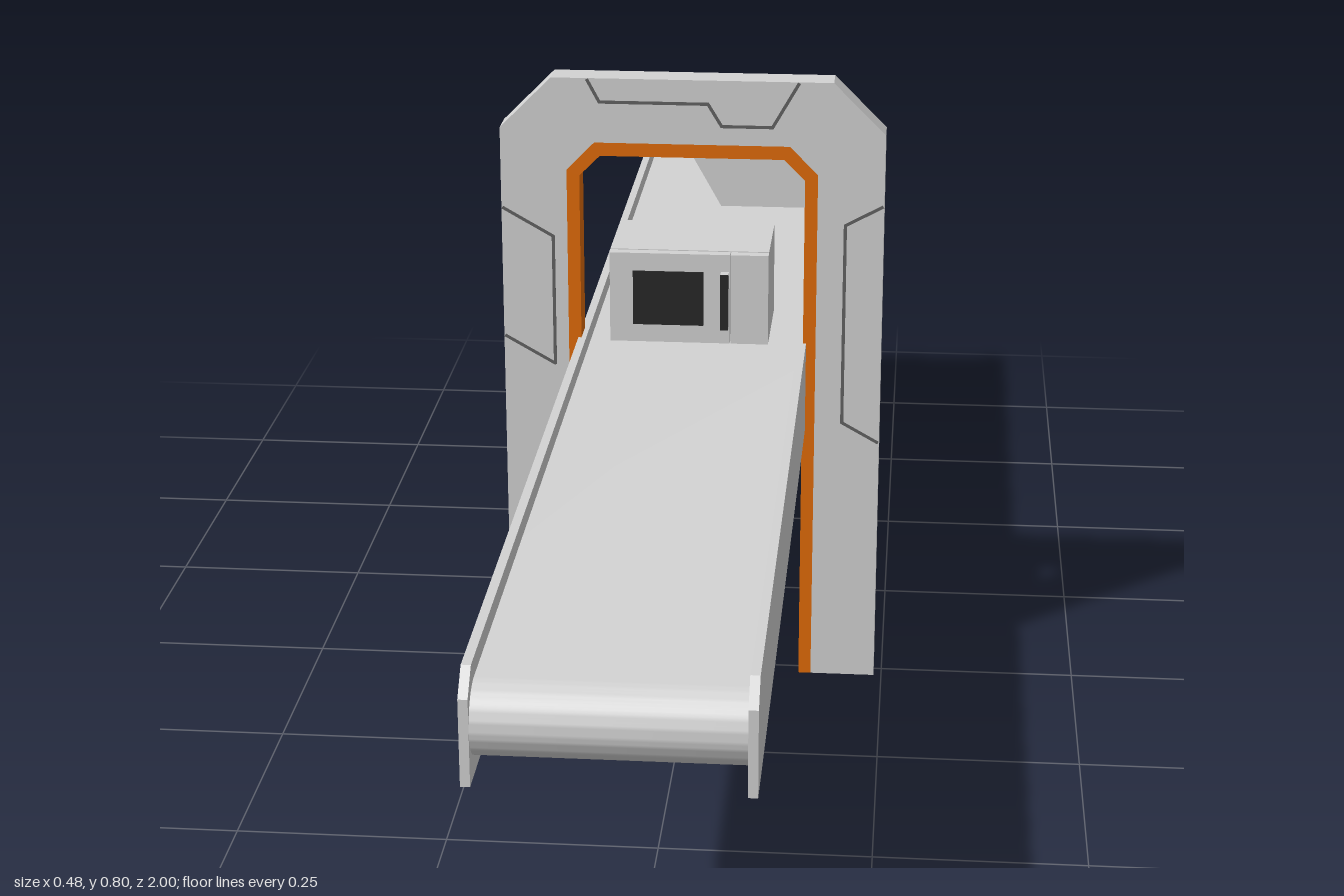
import * as THREE from 'three';
import { toCreasedNormals } from 'three/addons/utils/BufferGeometryUtils.js';

const material = (name, color) => {
  const m = new THREE.MeshStandardMaterial({ color });
  m.name = name;
  return m;
};

export function createModel() {
  const grey = material('light grey', 0xd3d3d3);
  const orange = material('orange', 0xe26c08);
  const seamGrey = material('seam grey', 0x626262);
  const black = material('black', 0x282828);

  const model = new THREE.Group();
  model.name = 'conveyorScanner';

  const add = (parent, name, geometry, mat, x = 0, y = 0, z = 0) => {
    const mesh = new THREE.Mesh(geometry, mat);
    mesh.name = name;
    mesh.position.set(x, y, z);
    parent.add(mesh);
    return mesh;
  };
  const group = (name) => {
    const g = new THREE.Group();
    g.name = name;
    model.add(g);
    return g;
  };
  const box = (w, h, d) => new THREE.BoxGeometry(w, h, d);

  // Extrusion of a closed outline, centred on z = 0
  const slab = (points, depth) => {
    const shape = new THREE.Shape(points.map(([x, y]) => new THREE.Vector2(x, y)));
    return new THREE.ExtrudeGeometry(shape, { depth, bevelEnabled: false })
      .translate(0, 0, -depth / 2);
  };

  // Right half of a chamfered doorway line, mirrored into a full one
  const arch = (half) => [...half, ...half.map(([x, y]) => [-x, y]).reverse()];
  const outer = arch([[0.24, 0], [0.24, 0.735], [0.175, 0.8]]);
  const middle = arch([[0.157, 0], [0.157, 0.682], [0.122, 0.718]]);
  const inner = arch([[0.141, 0], [0.141, 0.675], [0.115, 0.701]]);

  // Gate with its coloured lining
  const gate = group('gate');
  add(gate, 'gateFrame', slab([...outer, ...middle.slice().reverse()], 0.04), grey);
  add(gate, 'gateLining', slab([...middle, ...inner.slice().reverse()], 0.04), orange);

  // Panel seams showing on the front and back of the frame
  const seams = {
    topSeam: [[-0.13, 0.798], [-0.115, 0.77], [0.02, 0.77], [0.037, 0.742], [0.1, 0.742], [0.132, 0.798]],
    rightLegSeam: [[-0.238, 0.631], [-0.175, 0.595], [-0.175, 0.425], [-0.238, 0.461]],
    leftLegSeam: [[0.238, 0.643], [0.192, 0.618], [0.192, 0.355], [0.238, 0.329]],
  };
  for (const [name, points] of Object.entries(seams)) {
    for (let i = 0; i < points.length - 1; i++) {
      const [ax, ay] = points[i];
      const [bx, by] = points[i + 1];
      const length = Math.hypot(bx - ax, by - ay) + 0.002;
      const seam = add(gate, name, box(length, 0.004, 0.0406), seamGrey, (ax + bx) / 2, (ay + by) / 2);
      seam.rotation.z = Math.atan2(by - ay, bx - ax);
    }
  }

  // Sensor plate hanging in the upper corner of the gate
  add(gate, 'sensorPlate', slab(
    [[0, 0.701], [0.036, 0.637], [0.142, 0.637], [0.142, 0.675], [0.115, 0.701]], 0.02), grey);

  // Conveyor belt: a thin sheet curled under at both ends, open below
  const conveyor = group('conveyor');
  const sheet = new THREE.Shape();
  sheet.absarc(0.959, 0.401, 0.04, -Math.PI / 2, Math.PI / 2, false);
  sheet.absarc(-0.959, 0.401, 0.04, Math.PI / 2, Math.PI * 1.5, false);
  sheet.absarc(-0.959, 0.401, 0.037, Math.PI * 1.5, Math.PI / 2, true);
  sheet.absarc(0.959, 0.401, 0.037, Math.PI / 2, -Math.PI / 2, true);
  const belt = new THREE.ExtrudeGeometry(sheet, { depth: 0.272, bevelEnabled: false, curveSegments: 16 })
    .translate(0, 0, -0.136).rotateY(Math.PI / 2);
  add(conveyor, 'belt', toCreasedNormals(belt, 0.6), grey);

  // Side rails with clipped upper corners
  const railOutline = [[-1, 0.342], [1, 0.342], [1, 0.436], [0.975, 0.461], [-0.975, 0.461], [-1, 0.436]];
  for (const side of [-1, 1]) {
    add(conveyor, side > 0 ? 'leftRail' : 'rightRail',
      slab(railOutline, 0.01).rotateY(Math.PI / 2), grey, side * 0.14);
  }

  // Oven passing through the gate
  const oven = group('oven');
  add(oven, 'ovenBody', box(0.198, 0.118, 0.122), grey, 0, 0.532, -0.009);
  add(oven, 'ovenDoor', box(0.15, 0.116, 0.014), grey, -0.024, 0.532, 0.058);
  add(oven, 'controlPanel', box(0.047, 0.116, 0.014), grey, 0.0755, 0.532, 0.058);
  add(oven, 'ovenWindow', box(0.088, 0.07, 0.002), black, -0.026, 0.532, 0.0655);
  add(oven, 'doorHandle', box(0.01, 0.072, 0.013), grey, 0.045, 0.532, 0.071);
  add(oven, 'handleGrip', box(0.01, 0.072, 0.002), black, 0.045, 0.532, 0.0785);

  return model;
}
